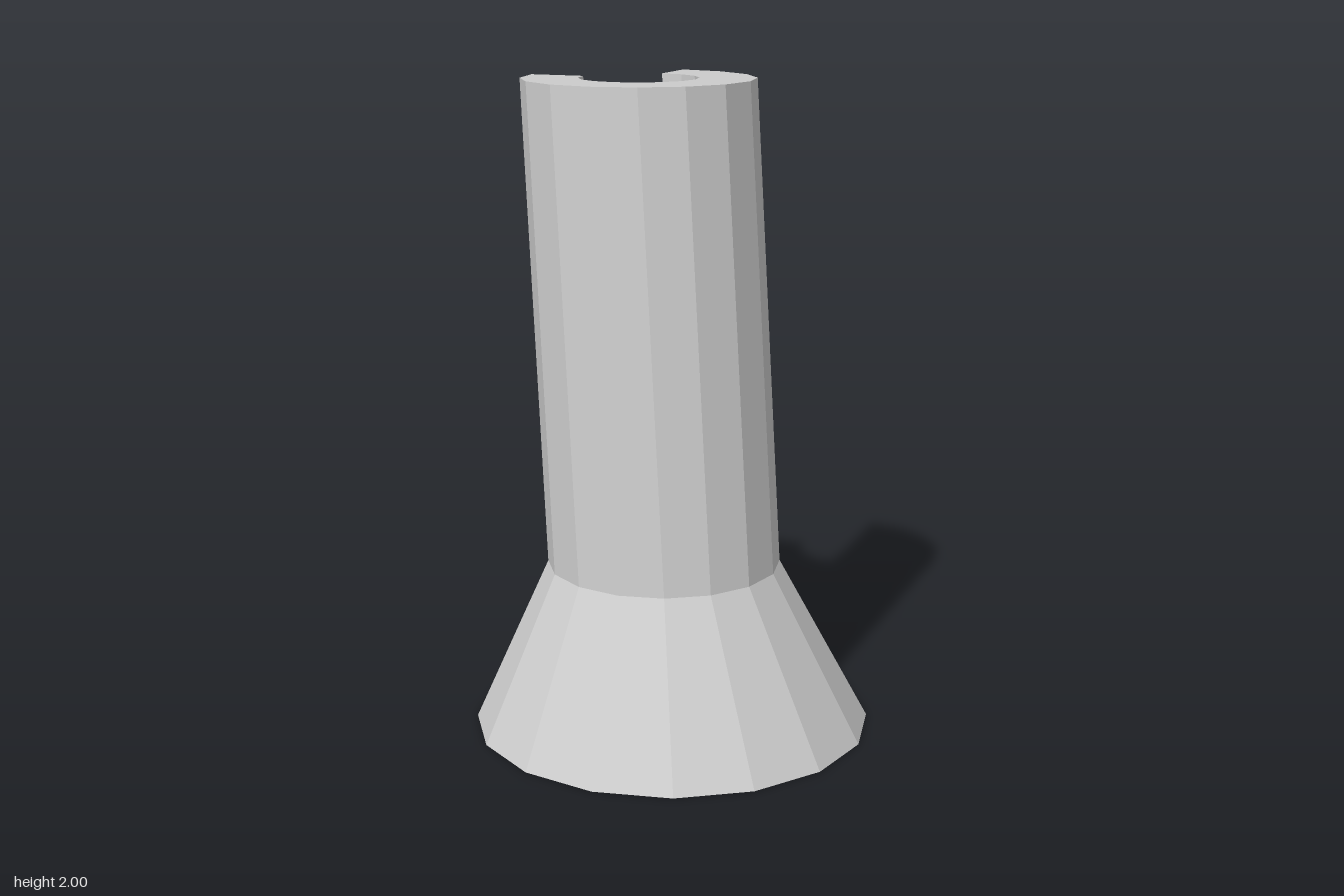
import * as THREE from 'three';

export function createModel() {
  const group = new THREE.Group();
  const grey = new THREE.MeshStandardMaterial({ color: 0xcccccc });
  grey.name = 'grey';

  const LEAN = -0.094; // sideways and backward drift per unit of height
  const INNER = 0.188, OUTER = 0.367, FOOT = 0.622;

  // Wall section as [radius, height]: flared foot, straight tube, hollow bore
  const section = [[INNER, 0], [FOOT, 0], [OUTER, 0.5], [OUTER, 2], [INNER, 2]];

  // Slant the geometry diagonally and give it faceted normals
  function addPart(name, geometry) {
    const geo = geometry.toNonIndexed();
    const p = geo.attributes.position;
    for (let i = 0; i < p.count; i++) {
      const y = p.getY(i);
      p.setX(i, p.getX(i) + LEAN * y);
      p.setZ(i, p.getZ(i) + LEAN * y);
    }
    geo.computeVertexNormals();
    const mesh = new THREE.Mesh(geo, grey);
    mesh.name = name;
    group.add(mesh);
  }

  // Three quarters of a 16-sided tube, open at the back right
  const loop = [...section, section[0]].map(([r, y]) => new THREE.Vector2(r, y));
  addPart('flaredTube', new THREE.LatheGeometry(loop, 12, -Math.PI / 2, Math.PI * 1.5));

  // Flat faces closing the two sides of the opening
  const cutFace = (side) => new THREE.ShapeGeometry(
    new THREE.Shape(section.map(([r, y]) => new THREE.Vector2(side * r, y))));
  addPart('rightCutFace', cutFace(1).rotateY(Math.PI));
  addPart('backCutFace', cutFace(-1).rotateY(-Math.PI / 2));

  return group;
}
